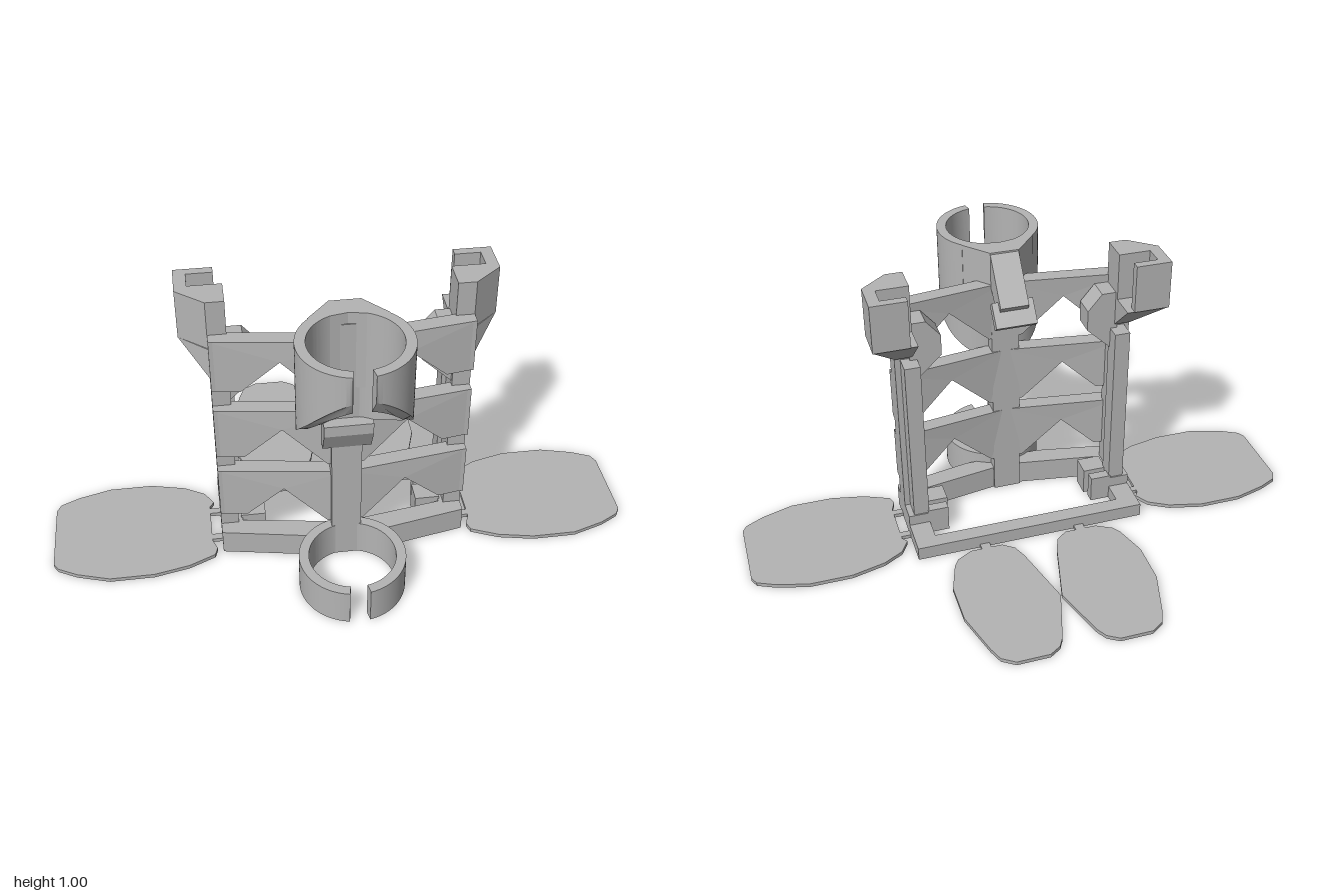
import * as THREE from 'three';
import { toCreasedNormals } from 'three/addons/utils/BufferGeometryUtils.js';
import { ConvexGeometry } from 'three/addons/geometries/ConvexGeometry.js';

const shapeOf = pts => new THREE.Shape(pts.map(p => new THREE.Vector2(p[0], p[1])));

// upright prism from a plan outline of [x, z] points
function prism(plan, y0, y1) {
  const g = new THREE.ExtrudeGeometry(shapeOf(plan.map(([x, z]) => [x, -z])), { depth: y1 - y0, bevelEnabled: false });
  return g.rotateX(-Math.PI / 2).translate(0, y0, 0);
}
// prism along z from a front outline of [x, y] points
function frontPrism(outline, z0, z1) {
  return new THREE.ExtrudeGeometry(shapeOf(outline), { depth: z1 - z0, bevelEnabled: false }).translate(0, 0, z0);
}
// prism along x, centred, from a side outline of [z, y] points
function sidePrism(outline, width) {
  const g = new THREE.ExtrudeGeometry(shapeOf(outline.map(([z, y]) => [-z, y])), { depth: width, bevelEnabled: false });
  return g.rotateY(Math.PI / 2).translate(-width / 2, 0, 0);
}
function box(x0, x1, y0, y1, z0, z1) {
  return new THREE.BoxGeometry(x1 - x0, y1 - y0, z1 - z0).translate((x0 + x1) / 2, (y0 + y1) / 2, (z0 + z1) / 2);
}
// mirrored copy across x with corner order restored
function mirrored(geo) {
  const g = geo.index ? geo.toNonIndexed() : geo.clone();
  g.scale(-1, 1, 1);
  for (const a of Object.values(g.attributes)) {
    const n = a.itemSize;
    for (let i = 0; i < a.count; i += 3) {
      for (let k = 0; k < n; k++) {
        const p = (i + 1) * n + k, q = (i + 2) * n + k, t = a.array[p];
        a.array[p] = a.array[q];
        a.array[q] = t;
      }
    }
  }
  g.computeVertexNormals();
  return g;
}
// split ring, open to the front
function splitRing(y0, y1) {
  const R = 0.178, r = 0.145, c = 0.465, a = -Math.PI / 2, gap = 0.19;
  const s = new THREE.Shape();
  s.absarc(0, -c, R, a + gap, a + 2 * Math.PI - gap, false);
  s.absarc(0, -c, r, a + 2 * Math.PI - gap, a + gap, true);
  return new THREE.ExtrudeGeometry(s, { depth: y1 - y0, bevelEnabled: false, curveSegments: 56 })
    .rotateX(-Math.PI / 2).translate(0, y0, 0);
}

export function createModel() {
  const root = new THREE.Group();
  root.name = 'stand';
  const grey = new THREE.MeshStandardMaterial({ color: 0xb4b4b4 });
  grey.name = 'grey plastic';
  const add = (name, geo) => {
    const m = new THREE.Mesh(geo, grey);
    m.name = name;
    root.add(m);
  };
  const pair = (name, geo) => {
    add(name + 'Left', geo);
    add(name + 'Right', mirrored(geo));
  };

  // thin ground pads and their tabs
  pair('sidePad', prism([[0.44, 0.03], [0.47, -0.02], [0.54, -0.06], [0.66, -0.09], [0.81, -0.09], [0.92, -0.06],
    [0.985, -0.03], [1, 0], [1, 0.26], [0.985, 0.285], [0.92, 0.32], [0.81, 0.355], [0.66, 0.355], [0.54, 0.33],
    [0.45, 0.29], [0.44, 0.26], [0.455, 0.22], [0.455, 0.05]], 0, 0.014));
  pair('backPad', prism([[0.002, -0.4], [0.06, -0.17], [0.08, -0.12], [0.12, -0.09], [0.235, -0.09], [0.29, -0.12],
    [0.31, -0.15], [0.345, -0.26], [0.345, -0.41], [0.3, -0.57], [0.28, -0.62], [0.235, -0.65], [0.12, -0.65],
    [0.08, -0.625], [0.06, -0.59]], 0, 0.014));
  pair('backTab', box(0.16, 0.195, 0, 0.014, -0.1, -0.06));
  for (const z of [0.06, 0.19]) pair('sideTab', box(0.41, 0.47, 0, 0.014, z, z + 0.025));

  // base frame
  add('baseBackBar', box(-0.42, 0.42, 0, 0.05, -0.065, -0.01));
  pair('baseSideBar', box(0.345, 0.42, 0, 0.05, -0.01, 0.08));
  pair('baseFoot', box(0.345, 0.42, 0, 0.09, 0.07, 0.225));
  pair('baseInnerBlock', box(0.265, 0.35, 0, 0.1, 0.125, 0.2));
  pair('baseInnerStop', box(0.275, 0.35, 0, 0.1, 0.07, 0.105));
  pair('baseFrontBar', prism([[0.42, 0.2], [0.42, 0.265], [0.14, 0.318], [0, 0.318], [0, 0.268]], 0, 0.09));

  // corner columns with a stepped back rail
  pair('column', box(0.36, 0.42, 0.08, 0.74, 0.14, 0.22));
  pair('columnRail', box(0.345, 0.4, 0.09, 0.71, 0.075, 0.14));

  // centre post, widening behind the upper ring
  add('centrePost', prism([[-0.05, 0.25], [0.05, 0.25], [0.05, 0.325], [-0.05, 0.325]], 0, 0.96));
  pair('postGusset', prism([[0, 0.25], [0.05, 0.25], [0.125, 0.335], [0.125, 0.345], [0, 0.32]], 0.72, 1));

  // slanted lattice beams, notched beneath
  for (const top of [0.355, 0.61, 0.88]) {
    const low = top - 0.19;
    const beam = frontPrism([[0, top], [0.42, top], [0.42, low], [0.33, low], [0.205, top - 0.073],
      [0.06, low - 0.025], [0, low - 0.025]], 0, 0.055);
    const p = beam.attributes.position;
    for (let i = 0; i < p.count; i++) p.setZ(i, p.getZ(i) + 0.252 - 0.16 * Math.max(0, p.getX(i) - 0.05));
    beam.computeVertexNormals();
    pair('latticeBeam', beam);
    pair('beamJoint', sidePrism([[0.21, low + 0.03], [0.25, low], [0.25, top], [0.21, top - 0.06]], 0.06)
      .translate(0.39, 0, 0));
  }

  // cable guides high on the columns
  pair('innerGuide', frontPrism([[0.37, 0.85], [0.31, 0.85], [0.26, 0.79], [0.26, 0.715], [0.37, 0.61]], 0.125, 0.205));

  // hooked holders on top of the columns
  pair('holder', prism([[0.36, 0.21], [0.42, 0.21], [0.51, 0.135], [0.51, 0.012], [0.385, 0.012], [0.385, 0.042],
    [0.47, 0.042], [0.47, 0.11], [0.36, 0.11]], 0.828, 1));
  const taper = [];
  for (const [x, z] of [[0.36, 0.22], [0.42, 0.215], [0.51, 0.135], [0.51, 0.012], [0.36, 0.012]])
    taper.push(new THREE.Vector3(x, 0.83, z));
  for (const [x, z] of [[0.36, 0.22], [0.42, 0.22], [0.42, 0.13], [0.36, 0.13]])
    taper.push(new THREE.Vector3(x, 0.72, z));
  pair('holderTaper', new ConvexGeometry(taper));

  // split rings, the upper one with a sweeping underside
  add('lowerRing', toCreasedNormals(splitRing(0, 0.13), 0.6));
  const ring = splitRing(0, 1), rp = ring.attributes.position;
  for (let i = 0; i < rp.count; i++) {
    if (rp.getY(i) > 0.5) continue;
    const t = (rp.getZ(i) - 0.287) / 0.356;
    rp.setY(i, 0.56 + 0.24 * t + 0.11 * t ** 4);
  }
  ring.computeVertexNormals();
  add('upperRing', toCreasedNormals(ring, 0.6));
  add('ringWedge', sidePrism([[0.3, 0.6], [0.365, 0.6], [0.365, 0.56], [0.325, 0.48], [0.3, 0.48]], 0.16));

  // rear arm sloping down to a cross plate
  add('rearArm', sidePrism([[0.3, 1], [0.255, 1], [0.13, 0.85], [0.165, 0.79], [0.25, 0.87], [0.3, 0.75]], 0.1));
  add('rearPlate', new THREE.BoxGeometry(0.145, 0.09, 0.03).rotateX(0.7).translate(0, 0.815, 0.145));

  return root;
}
